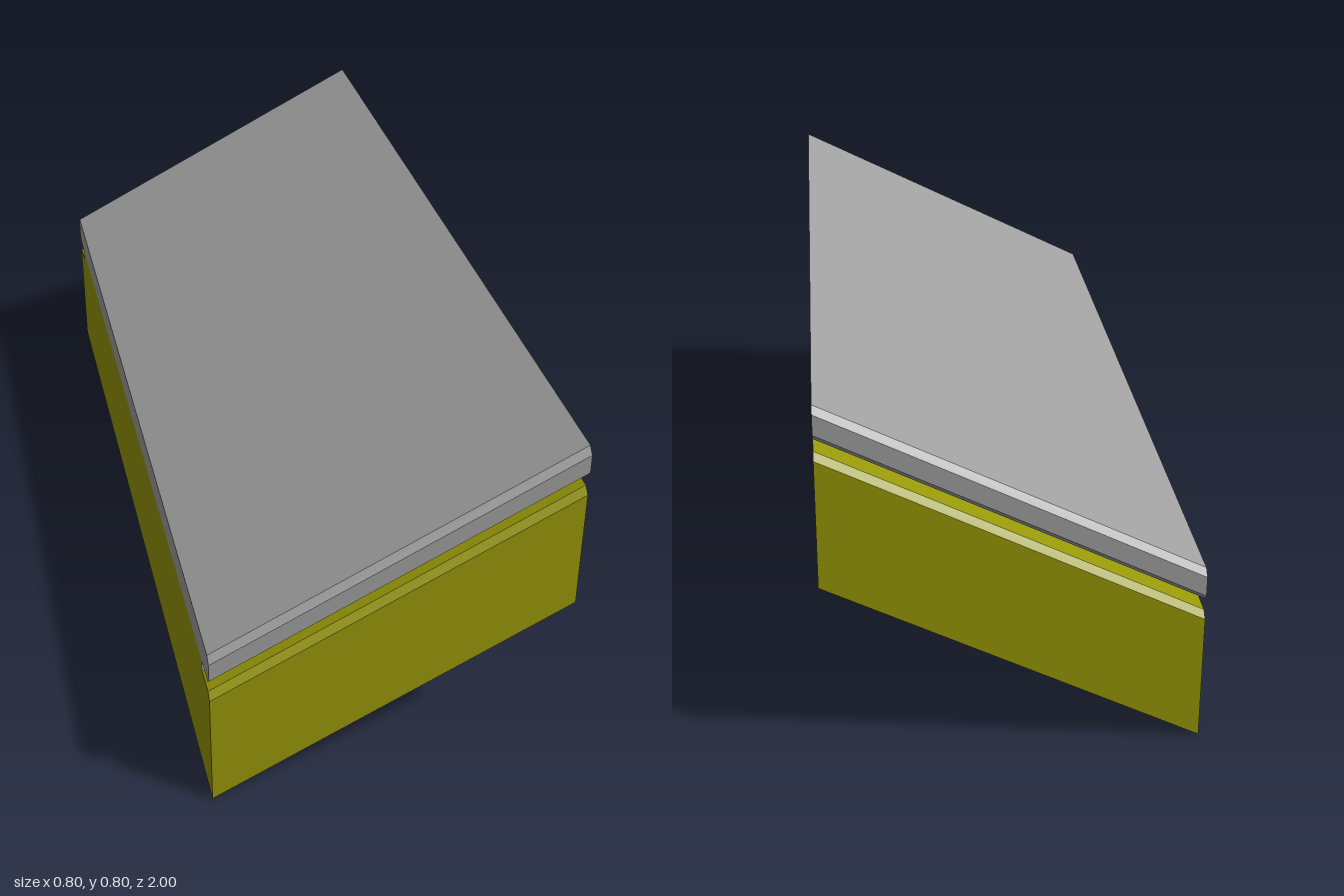
import * as THREE from 'three';

const WIDTH = 0.8, SLOPE = 0.5;

// Extrudes a symmetric half profile of [z, y] points along x, then shears it up the slope
function slopedPrism(half) {
  const mirrored = half.map(([z, y]) => [-z, y]).reverse();
  const shape = new THREE.Shape([...half, ...mirrored].map(([z, y]) => new THREE.Vector2(z, y)));
  const geometry = new THREE.ExtrudeGeometry(shape, { depth: WIDTH, bevelEnabled: false });
  geometry.translate(0, 0, -WIDTH / 2);
  geometry.rotateY(Math.PI / 2);
  const p = geometry.attributes.position;
  for (let i = 0; i < p.count; i++) {
    p.setY(i, p.getY(i) + SLOPE * (p.getX(i) + WIDTH / 2));
  }
  geometry.computeVertexNormals();
  return geometry;
}

export function createModel() {
  const group = new THREE.Group();
  const olive = new THREE.MeshStandardMaterial({ color: 0x989808 });
  const grey = new THREE.MeshStandardMaterial({ color: 0xa0a0a0 });
  const lightGrey = new THREE.MeshStandardMaterial({ color: 0xcccccc });

  const add = (name, half, material) => {
    const mesh = new THREE.Mesh(slopedPrism(half), material);
    mesh.name = name;
    group.add(mesh);
  };

  // Sloped body with chamfered upper edges
  add('base', [[1, 0], [1, 0.285], [0.985, 0.3]], olive);
  // Recessed core between body and top: olive ends, light groove walls
  add('grooveCore', [[0.92, 0.3], [0.92, 0.327]], [olive, lightGrey]);
  // Overhanging top slab, chamfered above and below
  add('topSlab', [[0.985, 0.327], [1, 0.341], [1, 0.385], [0.985, 0.4]], grey);

  return group;
}
